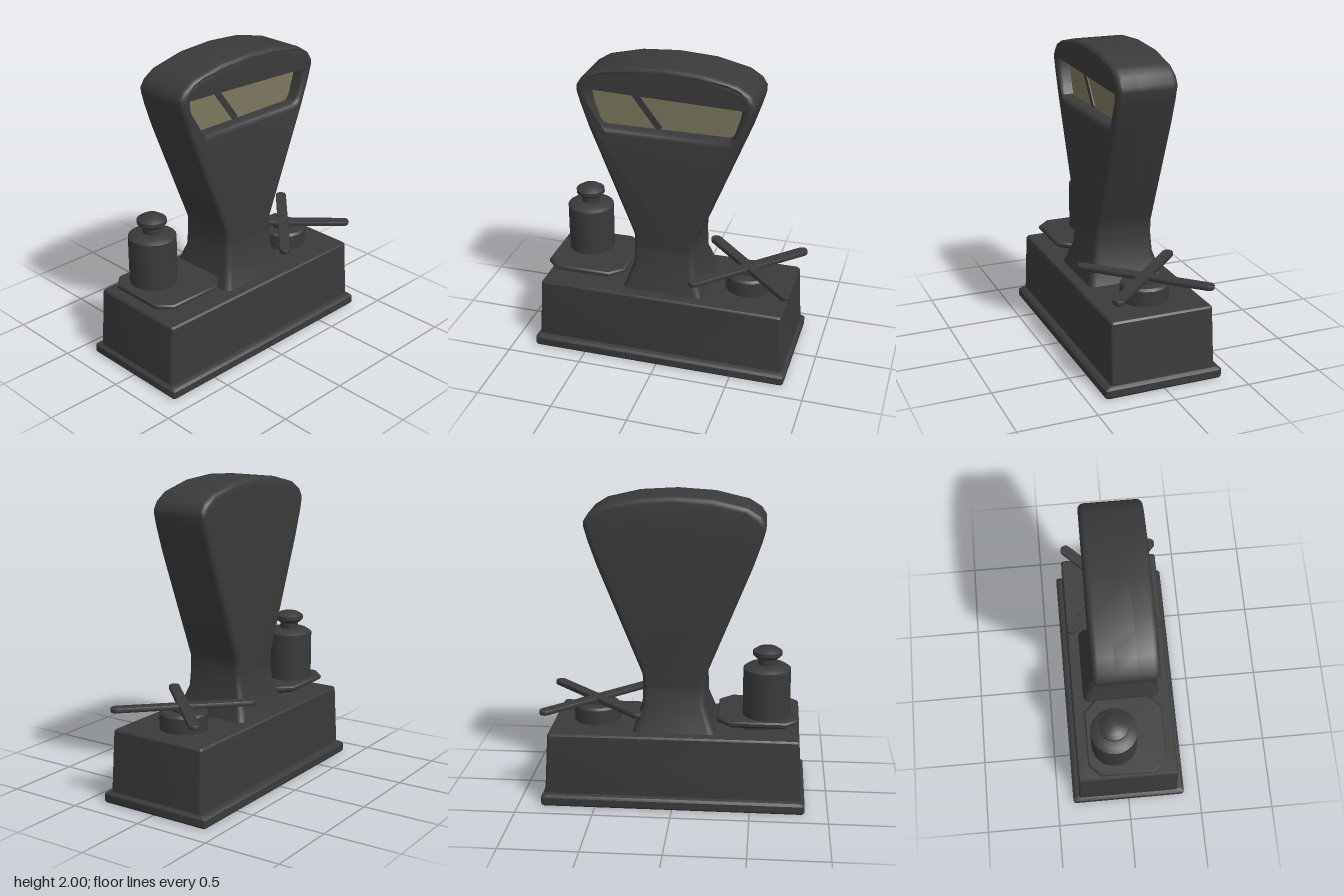
import * as THREE from 'three';
import { toCreasedNormals } from 'three/addons/utils/BufferGeometryUtils.js';

const iron = new THREE.MeshStandardMaterial({ color: 0x3a3a3a });
iron.name = 'dark iron';
const dial = new THREE.MeshStandardMaterial({ color: 0x7b765f });
dial.name = 'dial cream';

function part(name, geometry, material = iron) {
  const mesh = new THREE.Mesh(toCreasedNormals(geometry, 0.6), material);
  mesh.name = name;
  return mesh;
}

// Stack of rounded rectangles [y, halfX, halfZ, cornerRadius]; segs = 1 gives chamfers
function loft(rings, segs = 4) {
  const pos = [], index = [], n = 4 * (segs + 1);
  for (const [y, hx, hz, r] of rings) {
    for (let c = 0; c < 4; c++) {
      const sx = c === 0 || c === 3 ? 1 : -1, sz = c < 2 ? 1 : -1;
      for (let s = 0; s <= segs; s++) {
        const a = (c + s / segs) * Math.PI / 2;
        pos.push(sx * (hx - r) + r * Math.cos(a), y, sz * (hz - r) + r * Math.sin(a));
      }
    }
  }
  const last = rings.length - 1, bottom = n * rings.length, top = bottom + 1;
  pos.push(0, rings[0][0], 0, 0, rings[last][0], 0);
  for (let i = 0; i < n; i++) {
    const j = (i + 1) % n;
    for (let k = 0; k < last; k++) {
      const a = k * n + i, b = k * n + j;
      index.push(a, a + n, b + n, a, b + n, b);
    }
    index.push(bottom, i, j, top, last * n + j, last * n + i);
  }
  const g = new THREE.BufferGeometry();
  g.setAttribute('position', new THREE.Float32BufferAttribute(pos, 3));
  g.setIndex(index);
  return g;
}

// Side silhouette (-z, y) extruded across the body from x0 to x1
function slab(shape, x0, x1, bevel) {
  const g = new THREE.ExtrudeGeometry(shape, {
    depth: x1 - x0 - 2 * bevel, bevelEnabled: bevel > 0, bevelThickness: bevel,
    bevelSize: bevel, bevelOffset: -bevel, bevelSegments: 4,
  });
  g.translate(0, 0, x0 + bevel);
  return g.rotateY(Math.PI / 2);
}

// Closed symmetric outline from its right half, listed bottom to top
function mirrored(half) {
  const left = half.filter(p => p[0] > 0).reverse().map(([x, y]) => [-x, y]);
  return [...half, ...left].map(([x, y]) => new THREE.Vector2(x, y));
}

const lathe = (pts, segs = 24) =>
  new THREE.LatheGeometry(pts.map(([r, y]) => new THREE.Vector2(r, y)), segs);

export function createModel() {
  const model = new THREE.Group();
  model.name = 'counterScale';

  // Base box on a wider plinth
  model.add(part('plinth', loft([
    [0, 0.382, 0.844, 0.015], [0.01, 0.39, 0.852, 0.02], [0.055, 0.39, 0.852, 0.02],
    [0.07, 0.375, 0.838, 0.02], [0.075, 0.345, 0.83, 0.02]])));
  model.add(part('baseBox', loft([
    [0.06, 0.346, 0.832, 0.02], [0.465, 0.337, 0.808, 0.02], [0.477, 0.328, 0.798, 0.015]])));

  // Flared foot and fan-shaped head
  model.add(part('columnFoot', loft([
    [0.47, 0.262, 0.268, 0.045], [0.64, 0.207, 0.206, 0.04], [0.76, 0.195, 0.202, 0.035]])));
  const outline = mirrored([
    [0.203, 0.6], [0.202, 0.8], [0.205, 0.85], [0.225, 0.9], [0.49, 1.56], [0.545, 1.72],
    [0.567, 1.8], [0.567, 1.835], [0.535, 1.885], [0.455, 1.935], [0.24, 1.985], [0, 2]]);
  const opening = mirrored([
    [0.39, 1.57], [0.42, 1.58], [0.44, 1.61], [0.475, 1.72], [0.487, 1.79], [0.482, 1.845],
    [0.455, 1.88], [0.39, 1.905], [0.2, 1.93], [0, 1.935]]);
  model.add(part('headBody', slab(new THREE.Shape(outline), -0.195, 0.1, 0.035)));
  const rim = new THREE.Shape(outline);
  rim.holes.push(new THREE.Path(opening));
  model.add(part('headRim', slab(rim, -0.1, 0.195, 0.035)));

  // Dial window with its pointer
  model.add(part('dialPlate', slab(new THREE.Shape(opening), 0.1, 0.104, 0), dial));
  const pointer = new THREE.Shape(
    [[-0.02, 0], [0.02, 0], [0.02, 0.31], [0, 0.345], [-0.02, 0.31]]
      .map(([x, y]) => new THREE.Vector2(x, y)));
  const needle = part('pointer', slab(pointer, 0, 0.008, 0));
  needle.rotation.x = 0.65;
  needle.position.set(0.104, 1.572, 0.047);
  model.add(needle);

  // Front pan with chamfered corners
  const pan = new THREE.Group();
  pan.name = 'weightPan';
  pan.position.z = 0.54;
  pan.add(part('panPlate', loft([
    [0.525, 0.235, 0.235, 0.07], [0.545, 0.263, 0.263, 0.08],
    [0.562, 0.263, 0.263, 0.08], [0.572, 0.255, 0.255, 0.078]], 1)));
  pan.add(part('panSupport', lathe([[0, 0.47], [0.154, 0.47], [0.154, 0.53], [0, 0.53]])));
  model.add(pan);

  // Knobbed weight
  const weight = part('weight', lathe([
    [0, 0.57], [0.153, 0.57], [0.153, 0.885], [0.12, 0.907], [0.06, 0.912], [0.06, 0.95],
    [0.075, 0.957], [0.094, 0.975], [0.094, 1.0], [0.06, 1.022], [0, 1.03]]));
  weight.position.set(-0.08, 0, 0.592);
  model.add(weight);

  // Rear hub with four crossed arms
  const rest = new THREE.Group();
  rest.name = 'crossRest';
  rest.position.z = -0.525;
  rest.add(part('hub', lathe([[0, 0.47], [0.154, 0.47], [0.154, 0.575], [0.14, 0.59], [0, 0.59]], 16)));
  rest.add(part('hubPin', lathe([[0, 0.58], [0.07, 0.58], [0.07, 0.61], [0, 0.61]], 16)));
  for (const side of [-1, 1]) {
    const arm = part('crossArm', loft([
      [0.602, 0.033, 0.452, 0.033], [0.608, 0.036, 0.455, 0.036],
      [0.626, 0.036, 0.455, 0.036], [0.632, 0.033, 0.452, 0.033]]));
    arm.rotation.y = side * Math.PI / 4;
    rest.add(arm);
  }
  model.add(rest);
  return model;
}
